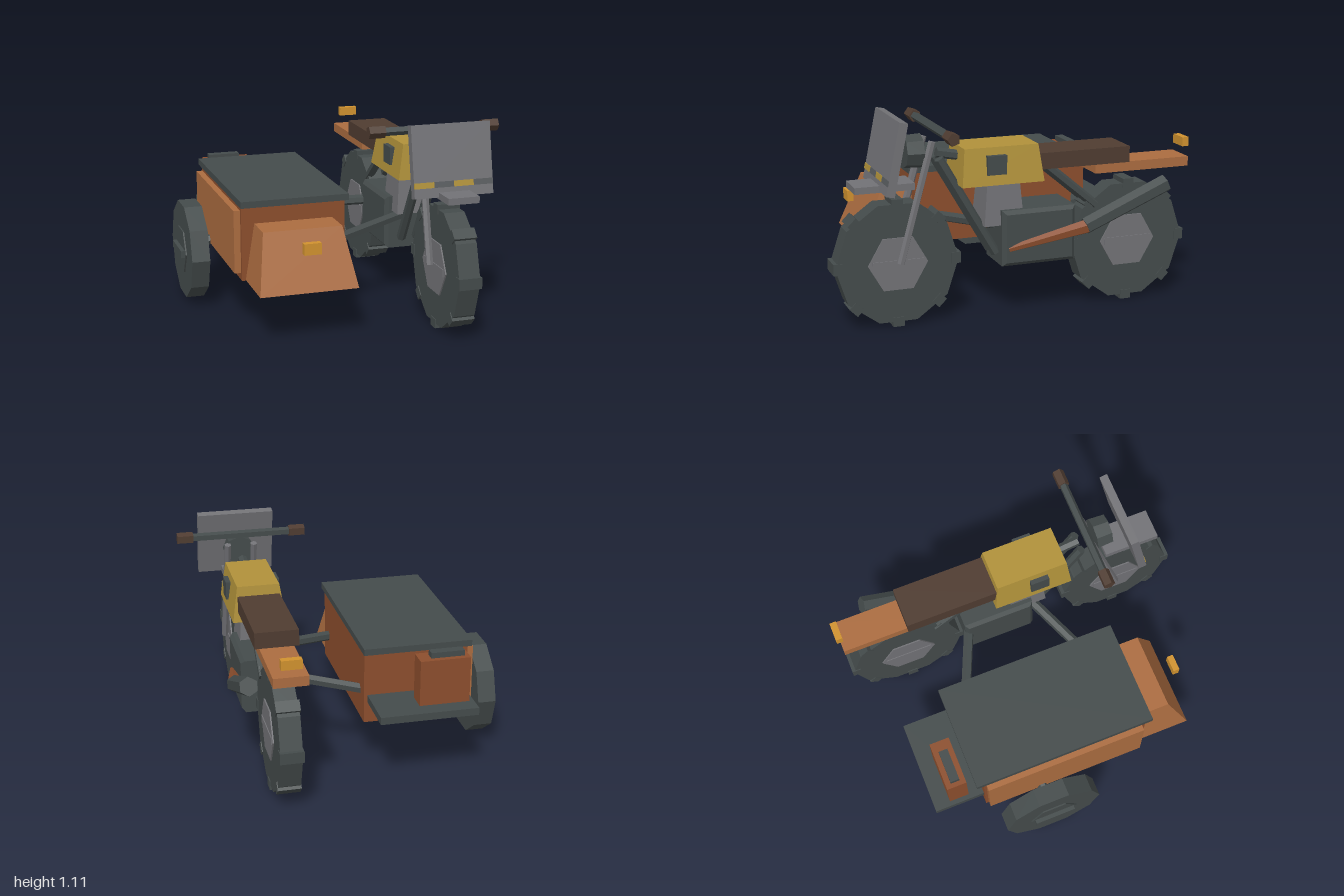
import * as THREE from 'three';

const mat = (name, color) => {
  const m = new THREE.MeshStandardMaterial({ color, flatShading: true });
  m.name = name;
  return m;
};

export function createModel() {
  const root = new THREE.Group();
  root.name = 'sidecarMotorcycle';
  const dark = mat('dark steel', 0x444b4b);
  const grey = mat('grey metal', 0x727276);
  const slate = mat('slate stripe', 0x595c5f);
  const rust = mat('rust paint', 0x8c4e2d);
  const orange = mat('orange paint', 0xab6c40);
  const gold = mat('gold paint', 0xb0913a);
  const brown = mat('brown leather', 0x4f3c31);
  const amber = mat('amber lamp', 0xd0922f);
  const CX = 0.45; // bike centre line

  const add = (name, geo, m, parent = root) => {
    const mesh = new THREE.Mesh(geo, m);
    mesh.name = name;
    parent.add(mesh);
    return mesh;
  };
  // Box given by its limits on each axis
  const box = (name, m, [x0, x1], [y0, y1], [z0, z1], parent) => {
    const g = new THREE.BoxGeometry(x1 - x0, y1 - y0, z1 - z0);
    g.translate((x0 + x1) / 2, (y0 + y1) / 2, (z0 + z1) / 2);
    return add(name, g, m, parent);
  };
  // Box whose top face has other limits than its bottom face
  const taper = (name, m, [y0, y1], bottom, top) => {
    const g = new THREE.BoxGeometry(1, 1, 1), p = g.attributes.position;
    for (let i = 0; i < p.count; i++) {
      const up = p.getY(i) > 0, r = up ? top : bottom;
      p.setXYZ(i, p.getX(i) < 0 ? r[0] : r[1], up ? y1 : y0, p.getZ(i) < 0 ? r[2] : r[3]);
    }
    g.computeVertexNormals();
    return add(name, g, m);
  };
  // Straight rod between two points
  const rod = (name, m, a, b, ra, rb = ra, sides = 6) => {
    const va = new THREE.Vector3(...a), vb = new THREE.Vector3(...b);
    const d = vb.clone().sub(va);
    const mesh = add(name, new THREE.CylinderGeometry(rb, ra, d.length(), sides), m);
    mesh.position.copy(va).add(vb).multiplyScalar(0.5);
    mesh.quaternion.setFromUnitVectors(new THREE.Vector3(0, 1, 0), d.normalize());
    return mesh;
  };

  // Wheels: ten-sided tyre, six-sided hub, cross bar, optional tread lugs
  const wheel = (name, x, y, z, r, w, hubR, hubMat, barW, lugs) => {
    const g = new THREE.Group();
    g.name = name;
    g.position.set(x, y, z);
    root.add(g);
    add('tyre', new THREE.CylinderGeometry(r, r, w, 10).rotateZ(Math.PI / 2), dark, g);
    add('hub', new THREE.CylinderGeometry(hubR, hubR, w + 0.015, 6).rotateZ(Math.PI / 2), hubMat, g);
    box('hubBar', hubMat, [-barW / 2, barW / 2], [-0.02, 0.02], [-hubR * 0.85, hubR * 0.85], g);
    for (let i = 0; i < lugs; i++) {
      const lug = new THREE.BoxGeometry(w + 0.01, 0.05, 0.06);
      lug.translate(0, r - 0.015, 0).rotateX(i / lugs * Math.PI * 2);
      add('treadLug', lug, dark, g);
    }
  };
  wheel('frontWheel', CX, 0.34, 0.658, 0.33, 0.115, 0.16, grey, 0.14, 8);
  wheel('rearWheel', CX, 0.34, -0.638, 0.33, 0.115, 0.16, grey, 0.14, 8);
  wheel('sidecarWheel', -0.734, 0.288, -0.21, 0.275, 0.1, 0.135, dark, 0.16, 0);

  // Engine block with chamfered edges
  const s = new THREE.Shape();
  s.moveTo(-0.185, -0.13); s.lineTo(0.185, -0.13); s.lineTo(0.185, 0.13); s.lineTo(-0.185, 0.13);
  s.closePath();
  const engineGeo = new THREE.ExtrudeGeometry(s, {
    depth: 0.235, bevelEnabled: true, bevelThickness: 0.02, bevelSize: 0.02, bevelSegments: 1,
  });
  engineGeo.translate(0, 0, -0.1175).rotateY(Math.PI / 2);
  add('engine', engineGeo, dark).position.set(CX, 0.432, -0.095);
  taper('engineCylinder', grey, [0.5, 0.73],
    [CX - 0.1, CX + 0.1, -0.02, 0.2], [CX - 0.085, CX + 0.085, 0, 0.18]);

  // Frame tubes
  for (const dx of [-0.045, 0.045]) {
    rod('downTube', dark, [CX + dx, 0.87, 0.43], [CX + dx, 0.34, 0.12], 0.026);
    rod('rearTube', dark, [CX + dx, 0.8, -0.15], [CX + dx, 0.55, -0.45], 0.026);
  }
  rod('topTube', dark, [CX, 0.895, 0.43], [CX, 0.86, 0.25], 0.027);

  // Fork, front fender, headlight and handlebar
  for (const side of [-1, 1])
    rod('forkLeg', grey, [CX + side * 0.075, 0.97, 0.475], [CX + side * 0.085, 0.345, 0.65], 0.02);
  box('frontFender', grey, [CX - 0.085, CX + 0.085], [0.73, 0.765], [0.57, 0.885]);
  rod('headlight', dark, [CX, 0.912, 0.515], [CX, 0.912, 0.605], 0.09, 0.085, 8);
  rod('handlebar', dark, [0.17, 1.035, 0.455], [0.73, 1.035, 0.455], 0.024, 0.024, 5);
  for (const side of [-1, 1])
    rod('grip', brown, [CX + side * 0.275, 1.035, 0.455], [CX + side * 0.365, 1.035, 0.455], 0.034, 0.034, 5);

  // Leaning windshield with a segmented stripe
  const shield = new THREE.Group();
  shield.name = 'windshield';
  shield.position.set(CX, 0.92, 0.7);
  shield.rotation.x = -0.2;
  root.add(shield);
  box('shieldPanel', grey, [-0.218, 0.218], [-0.188, 0.188], [-0.0225, 0.0225], shield);
  for (let i = 0; i < 4; i++) {
    const x = -0.218 + i * 0.109;
    box('shieldStripe', i % 2 ? slate : gold, [x, x + 0.109], [-0.137, -0.107], [0.0215, 0.0265], shield);
  }

  // Tank with side plates, seat, rear fender and tail lamp
  taper('tank', gold, [0.73, 0.925],
    [CX - 0.145, CX + 0.145, -0.115, 0.335], [CX - 0.115, CX + 0.115, -0.09, 0.315]);
  for (const side of [-1, 1]) {
    const x = CX + side * 0.13;
    box('tankPlate', dark, [x - 0.018, x + 0.018], [0.785, 0.885], [0.095, 0.2]);
  }
  box('seat', brown, [CX - 0.115, CX + 0.115], [0.785, 0.872], [-0.615, -0.09]);
  box('rearFender', orange, [CX - 0.09, CX + 0.09], [0.73, 0.782], [-0.98, -0.43]);
  box('tailLamp', amber, [CX - 0.053, CX + 0.053], [0.83, 0.88], [-1, -0.963]);

  // Exhaust on the left side
  rod('exhaustPipe', rust, [0.575, 0.375, 0.075], [0.632, 0.475, -0.345], 0.018, 0.04);
  rod('muffler', dark, [0.63, 0.475, -0.335], [0.63, 0.67, -0.8], 0.046, 0.05);

  // Sidecar body, lid, nose and lamp
  box('sidecarBody', rust, [-0.59, -0.025], [0.272, 0.68], [-0.54, 0.4]);
  box('sidecarLid', dark, [-0.6, -0.014], [0.675, 0.71], [-0.58, 0.437]);
  taper('sidecarNose', orange, [0.275, 0.58], [-0.57, -0.043, 0.39, 0.7], [-0.52, -0.095, 0.39, 0.575]);
  box('sidecarLamp', amber, [-0.345, -0.253], [0.485, 0.545], [0.69, 0.725]);
  box('sidePanel', orange, [-0.625, -0.585], [0.31, 0.65], [-0.525, 0.38]);

  // Luggage rack with fuel can
  box('rack', dark, [-0.57, -0.043], [0.39, 0.43], [-0.82, -0.53]);
  box('fuelCan', rust, [-0.545, -0.275], [0.43, 0.68], [-0.73, -0.62]);
  box('fuelCanCap', dark, [-0.52, -0.34], [0.68, 0.71], [-0.7, -0.65]);

  // Struts to the bike and sidecar wheel axle
  rod('rearStrut', dark, [-0.05, 0.425, -0.45], [0.45, 0.48, -0.23], 0.029);
  rod('frontStrut', dark, [-0.05, 0.425, 0.31], [0.45, 0.48, 0.09], 0.029);
  rod('sidecarAxle', dark, [-0.72, 0.285, -0.215], [-0.55, 0.36, -0.215], 0.027);

  return root;
}
